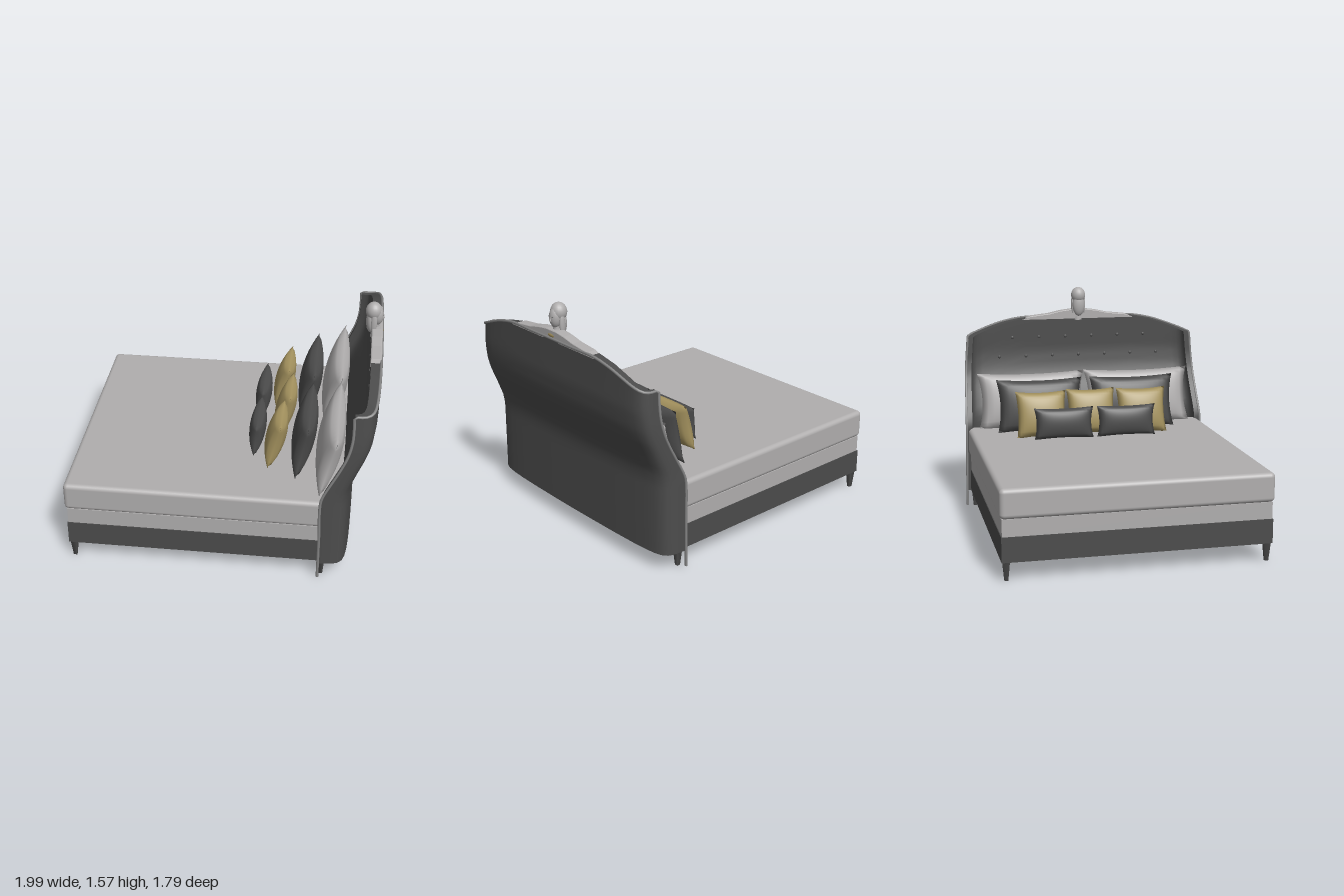
import * as THREE from 'three';
import { mergeVertices, toCreasedNormals } from 'three/addons/utils/BufferGeometryUtils.js';
import { RoundedBoxGeometry } from 'three/addons/geometries/RoundedBoxGeometry.js';

const material = (name, color) => {
  const m = new THREE.MeshStandardMaterial({ color });
  m.name = name;
  return m;
};

// linear lookup in a list of [key, value] pairs
function lookup(table, k) {
  if (k <= table[0][0]) return table[0][1];
  for (let i = 1; i < table.length; i++) {
    const [k0, v0] = table[i - 1], [k1, v1] = table[i];
    if (k <= k1) return v0 + (v1 - v0) * (k - k0) / (k1 - k0);
  }
  return table[table.length - 1][1];
}

// headboard profiles by height: wing front edge, back face, half width
const wingFront = [[0.6, 0.66], [0.65, 0.675], [0.72, 0.71], [0.85, 0.775], [0.95, 0.815], [1.05, 0.835], [1.35, 0.845]];
const backFace = [[0.6, 0.855], [0.68, 0.865], [0.8, 0.91], [0.9, 0.952], [0.98, 0.975], [1.1, 0.99], [1.35, 0.985]];
const halfWidth = [[0.12, 0.888], [0.6, 0.88], [1.0, 0.858], [1.22, 0.84]];
// top height by relative distance from the middle
const crest = [[0, 1.345], [0.5, 1.342], [0.62, 1.328], [0.75, 1.298], [0.96, 1.232], [1, 1.215]];

// half of the U-shaped plan as [depth, width] fractions, from wing to middle
const plan = [[0, 1], [0.25, 0.997], [0.5, 0.99], [0.66, 0.975], [0.78, 0.945], [0.86, 0.89], [0.91, 0.81], [0.95, 0.68], [0.975, 0.5], [0.993, 0.25]];
const fullPlan = [...plan, [1, 0], ...plan.slice().reverse().map(([d, w]) => [d, -w])];

function headboardPoint([d, w], y, inner) {
  const f = lookup(wingFront, y);
  const b = lookup(backFace, y) - (inner ? 0.065 : 0);
  return new THREE.Vector3(f + (b - f) * d, y, (lookup(halfWidth, y) - (inner ? 0.04 : 0)) * w);
}

function headboardGeometry() {
  const rows = 30, n = fullPlan.length, loop = 2 * n, pos = [];
  const at = (j, i) => {
    const k = i % loop, inner = k >= n;
    const p = fullPlan[inner ? loop - 1 - k : k];
    const y = 0.12 + (lookup(crest, Math.abs(p[1])) - 0.12) * j / rows;
    return headboardPoint(p, y, inner);
  };
  const quad = (a, b, c, d) => [a, b, c, a, c, d].forEach(v => pos.push(v.x, v.y, v.z));
  for (let j = 0; j < rows; j++)
    for (let i = 0; i < loop; i++) quad(at(j, i), at(j, i + 1), at(j + 1, i + 1), at(j + 1, i));
  // top and bottom rims
  for (let i = 0; i < n - 1; i++) {
    const o = loop - 1 - i;
    quad(at(rows, i), at(rows, i + 1), at(rows, o - 1), at(rows, o));
    quad(at(0, o), at(0, o - 1), at(0, i + 1), at(0, i));
  }
  const g = new THREE.BufferGeometry();
  g.setAttribute('position', new THREE.Float32BufferAttribute(pos, 3));
  return toCreasedNormals(g, 0.7);
}

// cushion facing x: puffed middle, thin edges, pulled-in sides
function cushionGeometry(width, height, thick) {
  let g = new THREE.BoxGeometry(2, 2, 2, 16, 16, 1);
  g.deleteAttribute('uv');
  g.deleteAttribute('normal');
  const p = g.attributes.position;
  for (let i = 0; i < p.count; i++) {
    const u = p.getX(i), v = p.getY(i), s = p.getZ(i);
    const puff = Math.pow(Math.max(0, (1 - u * u) * (1 - v * v)), 0.45);
    p.setXYZ(i,
      s * puff * thick / 2,
      v * (1 - 0.08 * (1 - u * u) * v * v) * height / 2,
      u * (1 - 0.08 * (1 - v * v) * u * u) * width / 2);
  }
  g = mergeVertices(g, 1e-5);
  // swapping the two axes mirrors the box, so turn the faces back
  const idx = g.index;
  const det = new THREE.Matrix3().set(0, 0, 1, 0, 1, 0, 1, 0, 0).determinant();
  if (det < 0) for (let i = 0; i < idx.count; i += 3) {
    const a = idx.getX(i);
    idx.setX(i, idx.getX(i + 1));
    idx.setX(i + 1, a);
  }
  g.computeVertexNormals();
  return g;
}

export function createModel() {
  const model = new THREE.Group();
  model.name = 'bed';
  const light = material('light grey linen', 0xb0aeae);
  const dark = material('charcoal fabric', 0x4c4c4c);
  const gold = material('gold fabric', 0xa5935f);
  const trim = material('grey trim', 0x858585);

  const add = (name, geometry, mat, x = 0, y = 0, z = 0, parent = model) => {
    const m = new THREE.Mesh(geometry, mat);
    m.name = name;
    m.position.set(x, y, z);
    parent.add(m);
    return m;
  };
  const block = (name, mat, x0, x1, y0, y1, w, r) => add(name,
    r ? new RoundedBoxGeometry(x1 - x0, y1 - y0, w, 4, r) : new THREE.BoxGeometry(x1 - x0, y1 - y0, w),
    mat, (x0 + x1) / 2, (y0 + y1) / 2);

  // base, box spring and mattress, each with a narrower end inside the headboard
  block('base', dark, -0.98, 0.71, 0.12, 0.28, 1.72);
  block('baseEnd', dark, 0.7, 0.79, 0.121, 0.279, 1.5);
  block('boxSpring', light, -0.975, 0.71, 0.28, 0.39, 1.71);
  block('boxSpringEnd', light, 0.7, 0.79, 0.28, 0.389, 1.5);
  block('mattress', light, -0.992, 0.72, 0.39, 0.58, 1.735, 0.03);
  block('mattressEnd', light, 0.66, 0.785, 0.39, 0.579, 1.52);

  // tapered square legs
  for (const x of [-0.95, 0.68])
    for (const z of [-0.83, 0.83]) {
      const leg = new THREE.CylinderGeometry(0.031, 0.016, 0.125, 4, 1).rotateY(Math.PI / 4);
      add('leg', leg, dark, x, 0.0625, z);
    }

  // wrapped headboard
  add('headboard', headboardGeometry(), dark);

  // piping up the wing edges and over the crest
  const path = [];
  const wing = side => [0.01, 0.3, 0.6, 0.66, 0.72, 0.85, 0.95, 1.05, 1.15].map(y => headboardPoint([0, side], y, false));
  path.push(...wing(1));
  fullPlan.forEach(p => path.push(headboardPoint(p, lookup(crest, Math.abs(p[1])), false)));
  path.push(...wing(-1).reverse());
  add('piping', new THREE.TubeGeometry(new THREE.CatmullRomCurve3(path, false, 'centripetal'), 160, 0.009, 6), trim);

  // tufting buttons
  for (const [y, count, gap] of [[1.06, 7, 0.2], [1.2, 6, 0.2]])
    for (let i = 0; i < count; i++) {
      const z = (i - (count - 1) / 2) * gap;
      const d = lookup(plan.map(([a, b]) => [b, a]).reverse(), Math.abs(z) / 0.81);
      const f = lookup(wingFront, y), b = lookup(backFace, y) - 0.065;
      add('tuftButton', new THREE.SphereGeometry(0.012, 10, 6).scale(0.5, 1, 1), dark, f + (b - f) * d, y, z);
    }

  // rows of cushions leaning on the headboard: material, width, height, thickness, lean, x, y, z list
  const cushions = [
    ['sleepingPillow', light, 0.79, 0.41, 0.16, 0.24, 0.695, 0.77, [-0.395, 0.395]],
    ['largeCushion', dark, 0.62, 0.38, 0.15, 0.2, 0.52, 0.765, [-0.365, 0.315]],
    ['goldCushion', gold, 0.36, 0.33, 0.13, 0.25, 0.335, 0.735, [-0.385, 0.34]],
    ['goldMiddleCushion', gold, 0.35, 0.33, 0.13, 0.25, 0.37, 0.735, [-0.02]],
    ['smallCushion', dark, 0.42, 0.22, 0.11, 0.08, 0.2, 0.695, [-0.25, 0.195]],
  ];
  for (const [name, mat, w, h, t, lean, x, y, zs] of cushions) {
    const g = cushionGeometry(w, h, t);
    for (const z of zs) add(name, g, mat, x, y, z).rotation.z = -lean;
  }

  // carved bust on the crest, looking away from the bed
  const bust = new THREE.Group();
  bust.name = 'bust';
  model.add(bust);
  const ball = (name, mat, x, y, z, rx, ry, rz) =>
    add(name, new THREE.SphereGeometry(1, 20, 14).scale(rx, ry, rz), mat, x, y, z, bust);
  ball('face', light, 0.945, 1.475, 0, 0.04, 0.068, 0.04);
  ball('hair', light, 0.92, 1.505, 0, 0.053, 0.06, 0.053);
  ball('hairBack', light, 0.905, 1.435, 0, 0.032, 0.085, 0.045);
  add('nose', new THREE.ConeGeometry(0.009, 0.03, 6), light, 0.985, 1.472, 0, bust);
  add('neck', new THREE.CylinderGeometry(0.022, 0.032, 0.12, 14), light, 0.937, 1.38, 0, bust);
  for (const s of [-1, 1]) {
    ball('hairLock', light, 0.925, 1.43, s * 0.042, 0.02, 0.07, 0.012);
    ball('eye', trim, 0.978, 1.485, s * 0.016, 0.005, 0.005, 0.007);
  }
  // sloping shoulders along the crest
  const slope = [[0.05, 1.395], [0.13, 1.385], [0.22, 1.365], [0.36, 1.35], [0.42, 1.33]];
  const shape = new THREE.Shape();
  slope.forEach(([z, y], i) => (i ? shape.lineTo(z, y) : shape.moveTo(z, y)));
  slope.slice().reverse().forEach(([z, y], i) => shape.lineTo(-z, i ? y : 1.33));
  const shoulders = new THREE.ExtrudeGeometry(shape, { depth: 0.05, bevelEnabled: true, bevelSize: 0.005, bevelThickness: 0.01, bevelSegments: 2 });
  add('shoulders', shoulders.rotateY(Math.PI / 2), light, 0.925, 0, 0, bust);
  ball('collar', gold, 0.965, 1.365, 0, 0.024, 0.02, 0.06);

  return model;
}
